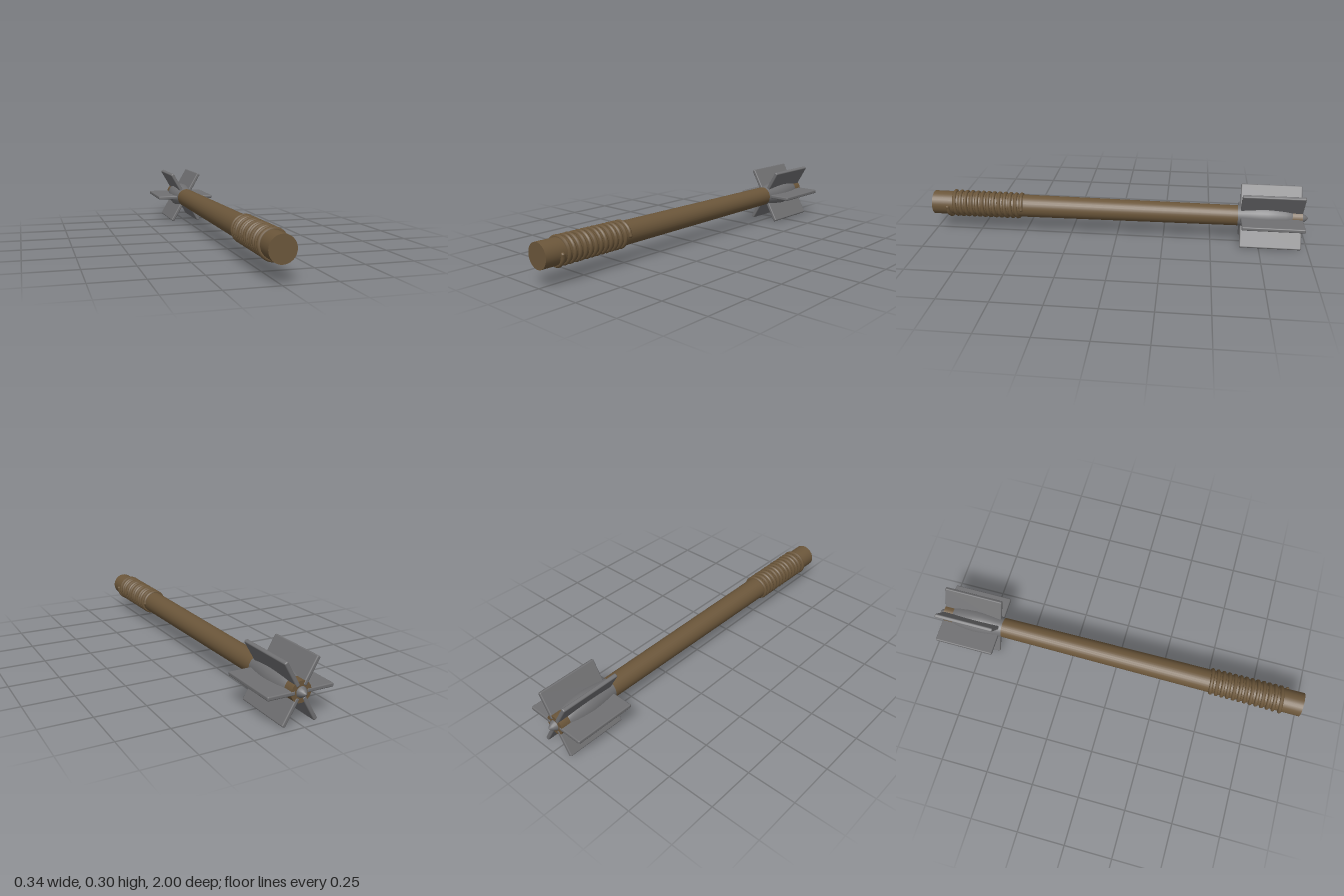
import * as THREE from 'three';
import { RoundedBoxGeometry } from 'three/addons/geometries/RoundedBoxGeometry.js';

const AXIS_Y = 0.149;

export function createModel() {
  const model = new THREE.Group();
  model.name = 'flangedMace';

  const wood = new THREE.MeshStandardMaterial({ color: 0x6b563a });
  wood.name = 'brown wood';
  const steel = new THREE.MeshStandardMaterial({ color: 0x707072 });
  steel.name = 'grey steel';

  // Everything is built around the z axis, then lifted to the shaft height
  const body = new THREE.Group();
  body.name = 'body';
  body.position.y = AXIS_Y;
  model.add(body);

  const add = (name, geometry, material, parent = body) => {
    const mesh = new THREE.Mesh(geometry, material);
    mesh.name = name;
    parent.add(mesh);
    return mesh;
  };

  // Tapered shaft, thicker at the front butt
  const shaftLength = 1.965;
  const shaft = new THREE.CylinderGeometry(0.063, 0.051, shaftLength, 32);
  shaft.rotateX(Math.PI / 2);
  shaft.translate(0, 0, 1 - shaftLength / 2);
  add('shaft', shaft, wood);

  // Cord wound round the grip, with a slightly loose front end
  const turns = 13, perTurn = 14;
  const points = [];
  for (let i = 0; i <= turns * perTurn; i++) {
    const t = i / (turns * perTurn);
    const angle = -(i / perTurn) * Math.PI * 2;
    const loose = Math.max(0, 1 - i / perTurn);
    const r = 0.0625 - 0.002 * t + 0.003 * loose;
    points.push(new THREE.Vector3(
      Math.cos(angle) * r, Math.sin(angle) * r, 0.905 - 0.395 * t + 0.008 * loose));
  }
  const cordPath = new THREE.CatmullRomCurve3(points);
  add('gripCord', new THREE.TubeGeometry(cordPath, turns * 28, 0.0105, 8), wood);
  for (const end of [points[0], points[points.length - 1]]) {
    add('cordEnd', new THREE.SphereGeometry(0.0105, 8, 6), wood).position.copy(end);
  }

  // Swollen steel core between the flanges
  const coreProfile = [
    [0.051, 0.62], [0.056, 0.66], [0.063, 0.70], [0.069, 0.75], [0.071, 0.79],
    [0.068, 0.83], [0.061, 0.88], [0.053, 0.91], [0.046, 0.925],
  ].map(([r, z]) => new THREE.Vector2(r, z));
  const core = new THREE.LatheGeometry(coreProfile, 32);
  core.rotateX(-Math.PI / 2);
  add('headCore', core, steel);

  // Six radial flanges with softened edges
  const inner = 0.03, outer = 0.168;
  const flange = new RoundedBoxGeometry(outer - inner, 0.02, 0.317, 2, 0.006);
  flange.translate((inner + outer) / 2, 0, -0.8085);
  const flanges = new THREE.Group();
  flanges.name = 'flanges';
  body.add(flanges);
  for (let i = 0; i < 6; i++) {
    add('flange', flange, steel, flanges).rotation.z = i * Math.PI / 3;
  }

  // Small pointed stud on the end of the head
  const stud = new THREE.LatheGeometry([
    new THREE.Vector2(0.026, 0.955), new THREE.Vector2(0.026, 0.968),
    new THREE.Vector2(0.016, 0.985), new THREE.Vector2(0.006, 0.997),
    new THREE.Vector2(0, 1),
  ], 16);
  stud.rotateX(-Math.PI / 2);
  add('tipStud', stud, steel);

  return model;
}
